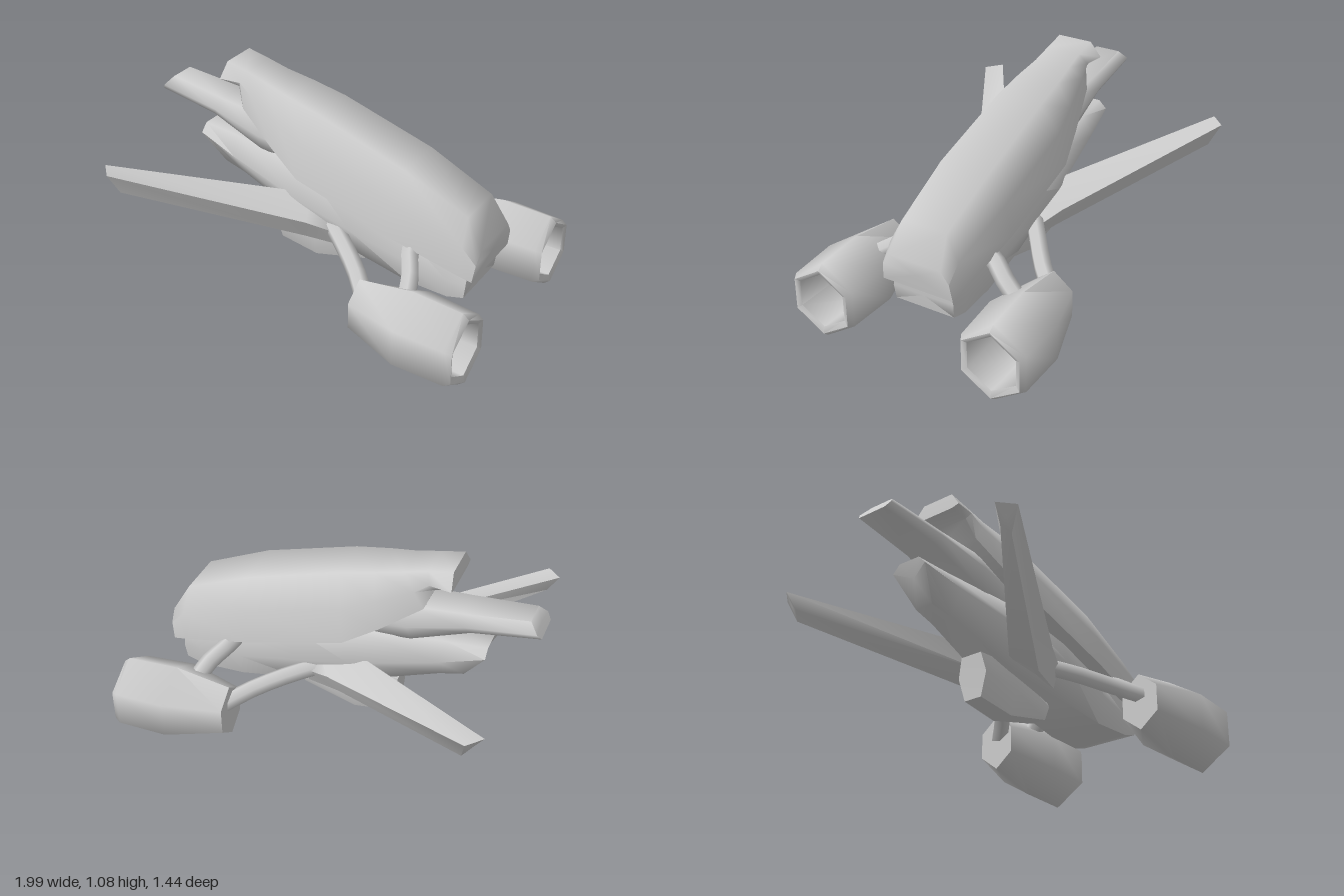
import * as THREE from 'three';
import { toCreasedNormals } from 'three/addons/utils/BufferGeometryUtils.js';

const material = new THREE.MeshStandardMaterial({ color: 0xcccccc });

// Skin a list of closed rings, running from tail to nose, and cap both ends.
function loft(name, rings) {
  const n = rings[0].length;
  const pos = rings.flat(2);
  const index = [];
  for (let i = 0; i < rings.length - 1; i++) {
    for (let j = 0; j < n; j++) {
      const k = (j + 1) % n;
      const a = i * n + j, b = i * n + k, c = b + n, d = a + n;
      index.push(a, b, c, a, c, d);
    }
  }
  const cap = (ring, start, flip) => {
    const centre = pos.length / 3;
    for (let q = 0; q < 3; q++) pos.push(ring.reduce((s, p) => s + p[q], 0) / n);
    for (let j = 0; j < n; j++) {
      const a = start + j, b = start + (j + 1) % n;
      index.push(centre, flip ? b : a, flip ? a : b);
    }
  };
  cap(rings[0], 0, true);
  cap(rings[rings.length - 1], (rings.length - 1) * n, false);
  const g = new THREE.BufferGeometry();
  g.setAttribute('position', new THREE.Float32BufferAttribute(pos, 3));
  g.setIndex(index);
  const mesh = new THREE.Mesh(toCreasedNormals(g, 1.2), material);
  mesh.name = name;
  return mesh;
}

const flipZ = ([x, y, z]) => [x, y, -z];
const mirrorRing = (ring) => ring.map(flipZ).reverse();
// Half section from top to bottom, completed on the other side.
const symmetric = (half) => [...half, ...mirrorRing(half)];

function upperHull() {
  return loft('upperHull', [
    [[-0.57, 1.075, 0.09], [-0.58, 1.0, 0.145], [-0.58, 0.99, 0.1]],
    [[-0.45, 1.05, 0.09], [-0.47, 1.0, 0.13], [-0.49, 0.97, 0.11]],
    [[-0.34, 1.02, 0.095], [-0.4, 0.95, 0.14], [-0.45, 0.87, 0.14]],
    [[-0.2, 0.99, 0.11], [-0.22, 0.87, 0.175], [-0.25, 0.73, 0.19]],
    [[-0.02, 0.95, 0.12], [-0.06, 0.8, 0.2], [-0.08, 0.63, 0.23]],
    [[0.46, 0.8, 0.13], [0.44, 0.65, 0.205], [0.42, 0.485, 0.23]],
    [[0.79, 0.655, 0.12], [0.8, 0.53, 0.185], [0.79, 0.38, 0.2]],
    [[0.875, 0.51, 0.14], [0.872, 0.45, 0.18], [0.86, 0.36, 0.19]],
  ].map(symmetric));
}

function tailBoom() {
  return loft('tailBoom', [
    [[-0.94, 0.885, 0.065], [-0.98, 0.84, 0.1], [-1.0, 0.81, 0.08]],
    [[-0.62, 0.85, 0.08], [-0.64, 0.8, 0.118], [-0.67, 0.76, 0.09]],
    [[-0.36, 0.83, 0.09], [-0.37, 0.74, 0.14], [-0.38, 0.65, 0.1]],
    [[-0.05, 0.76, 0.08], [-0.05, 0.68, 0.12], [-0.05, 0.6, 0.08]],
  ].map(symmetric));
}

function lowerHull() {
  return loft('lowerHull', [
    [[-0.75, 0.67, 0.06], [-0.75, 0.63, 0.1], [-0.64, 0.475, 0.05]],
    [[-0.55, 0.66, 0.07], [-0.53, 0.57, 0.13], [-0.52, 0.45, 0.06]],
    [[-0.1, 0.635, 0.12], [-0.1, 0.48, 0.19], [-0.1, 0.31, 0.1]],
    [[0.2, 0.57, 0.15], [0.2, 0.42, 0.2], [0.2, 0.255, 0.13]],
    [[0.5, 0.46, 0.15], [0.5, 0.35, 0.19], [0.5, 0.21, 0.15]],
    [[0.72, 0.4, 0.15], [0.72, 0.31, 0.17], [0.72, 0.21, 0.16]],
    [[0.82, 0.37, 0.15], [0.82, 0.31, 0.165], [0.81, 0.235, 0.16]],
  ].map(symmetric));
}

function bellyPod() {
  return loft('bellyPod', [
    [[-0.31, 0.35, 0.06], [-0.3, 0.25, 0.085], [-0.295, 0.13, 0.05]],
    [[-0.08, 0.36, 0.06], [-0.08, 0.23, 0.085], [-0.08, 0.1, 0.055]],
    [[0.21, 0.28, 0.04], [0.21, 0.23, 0.06], [0.2, 0.165, 0.04]],
  ].map(symmetric));
}

// Swept wing; each ring runs top, leading edge, bottom, trailing edge.
const wingRings = [
  [[-0.915, 0.655, 0.65], [-0.845, 0.65, 0.72], [-0.82, 0.537, 0.665], [-0.86, 0.575, 0.635]],
  [[-0.08, 0.487, 0.1], [-0.01, 0.42, 0.255], [-0.05, 0.3, 0.2], [-0.15, 0.36, 0.1]],
  [[0.08, 0.43, 0.12], [0.11, 0.38, 0.2], [0.13, 0.28, 0.15], [0.06, 0.33, 0.1]],
];

// Hexagonal ring with a point at the top.
function hexRing(x, y, z, ry, rz) {
  return [[1, 0], [0.46, 1], [-0.46, 1], [-1, 0], [-0.46, -1], [0.46, -1]]
    .map(([v, u]) => [x, y + v * ry, z + u * rz]);
}

// Engine pod with a hollow front; the last rings run back inside.
const engineRings = [
  hexRing(0.42, 0.225, 0.455, 0.145, 0.1),
  hexRing(0.7, 0.212, 0.46, 0.203, 0.176),
  hexRing(0.96, 0.2, 0.465, 0.2, 0.165),
  hexRing(0.99, 0.2, 0.465, 0.175, 0.15),
  hexRing(0.98, 0.205, 0.465, 0.145, 0.125),
  hexRing(0.7, 0.212, 0.46, 0.15, 0.125),
  hexRing(0.55, 0.22, 0.46, 0.1, 0.075),
];

const strutPaths = {
  rearStrut: [[0.08, 0.38, 0.15], [0.2, 0.355, 0.24], [0.34, 0.31, 0.35], [0.46, 0.26, 0.47]],
  frontStrut: [[0.52, 0.44, 0.14], [0.55, 0.415, 0.22], [0.6, 0.37, 0.3], [0.63, 0.32, 0.38]],
};

function strut(name, points) {
  const curve = new THREE.CatmullRomCurve3(points.map((p) => new THREE.Vector3(...p)));
  const mesh = new THREE.Mesh(new THREE.TubeGeometry(curve, 6, 0.045, 6), material);
  mesh.name = name;
  return mesh;
}

export function createModel() {
  const model = new THREE.Group();
  model.name = 'spacecraft';
  model.add(upperHull(), tailBoom(), lowerHull(), bellyPod());

  // Wings, engines and struts on both sides
  for (const mirrored of [false, true]) {
    const side = new THREE.Group();
    side.name = mirrored ? 'backSide' : 'frontSide';
    const rings = (list) => (mirrored ? list.map(mirrorRing) : list);
    side.add(loft('wing', rings(wingRings)), loft('engine', rings(engineRings)));
    for (const [name, path] of Object.entries(strutPaths)) {
      side.add(strut(name, mirrored ? path.map(flipZ) : path));
    }
    model.add(side);
  }
  return model;
}
